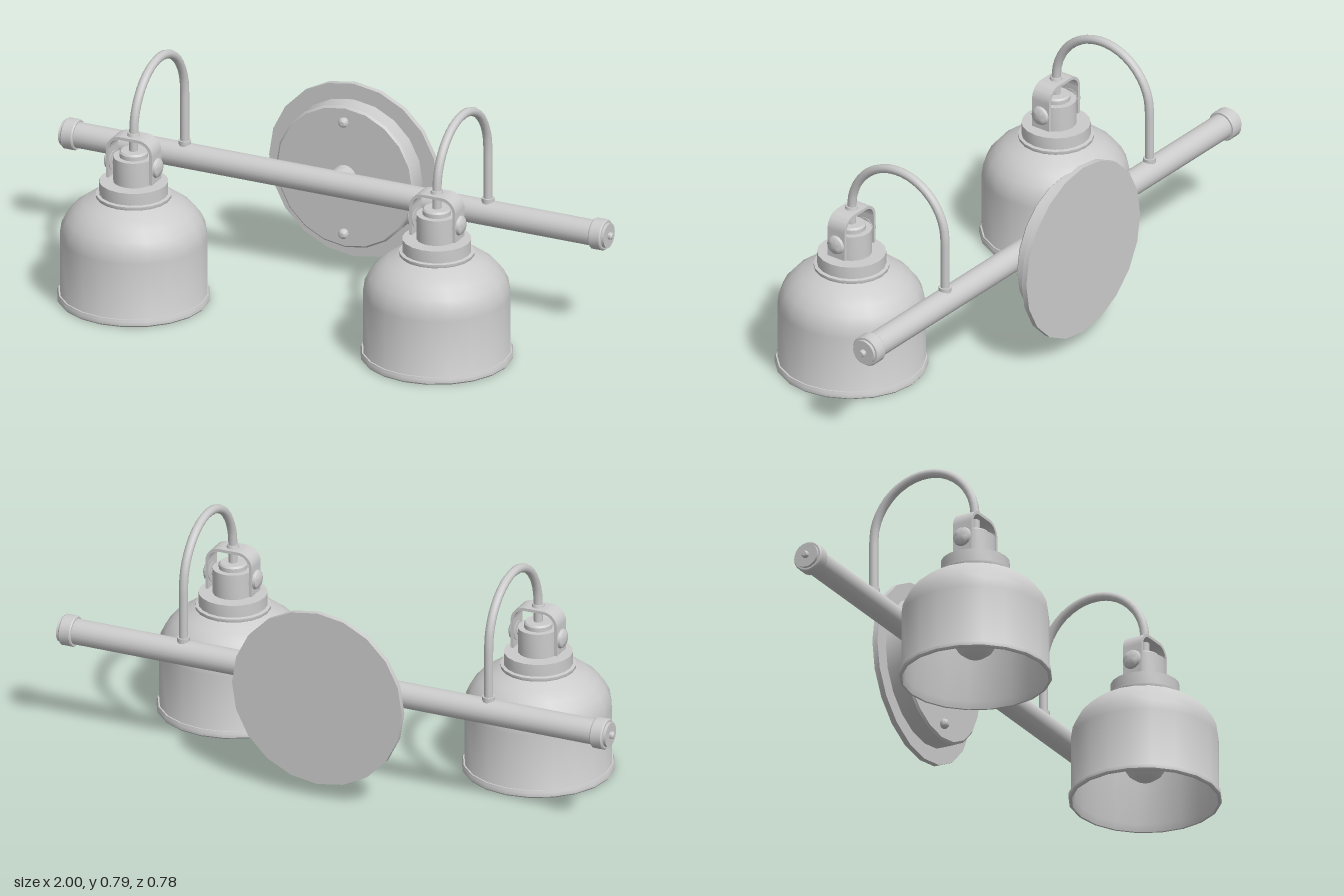
import * as THREE from 'three';
import { toCreasedNormals } from 'three/addons/utils/BufferGeometryUtils.js';

const material = new THREE.MeshStandardMaterial({ color: 0xcccccc });
const BAR_Y = 0.357, BAR_Z = -0.243, LAMP_Z = 0.14;

function add(parent, name, geometry, x = 0, y = 0, z = 0) {
  const mesh = new THREE.Mesh(geometry, material);
  mesh.name = name;
  mesh.position.set(x, y, z);
  parent.add(mesh);
  return mesh;
}

// Turned part: [radius, height] pairs, smooth around and sharp at steps
function turned(profile, sides = 20) {
  const points = profile.map(([r, h]) => new THREE.Vector2(r, h));
  return toCreasedNormals(new THREE.LatheGeometry(points, sides), 0.6);
}

// Curved strap over the socket: an upside-down U with rounded shoulders
function yokeGeometry() {
  const w = 0.083, t = 0.01, r = 0.05, bottom = 0.425, top = 0.575;
  const s = new THREE.Shape();
  s.moveTo(w, bottom);
  s.lineTo(w, top - r);
  s.absarc(w - r, top - r, r, 0, Math.PI / 2, false);
  s.absarc(r - w, top - r, r, Math.PI / 2, Math.PI, false);
  s.lineTo(-w, bottom);
  s.lineTo(t - w, bottom);
  s.lineTo(t - w, top - r);
  s.absarc(r - w, top - r, r - t, Math.PI, Math.PI / 2, true);
  s.absarc(w - r, top - r, r - t, Math.PI / 2, 0, true);
  s.lineTo(w - t, bottom);
  s.closePath();
  const g = new THREE.ExtrudeGeometry(s, { depth: 0.07, bevelEnabled: false, curveSegments: 5 });
  g.translate(0, 0, -0.035);
  return toCreasedNormals(g, 0.6);
}

// Swan-neck path: up from the bar, half circle forward, down into the socket
function neckGeometry() {
  const path = new THREE.CurvePath();
  const v = (y, z) => new THREE.Vector3(0, y, z);
  const arc = [];
  for (let i = 0; i <= 12; i++) {
    const a = Math.PI * i / 12;
    arc.push(v(0.58 + 0.196 * Math.sin(a), -0.0515 - 0.1915 * Math.cos(a)));
  }
  path.add(new THREE.LineCurve3(v(0.37, BAR_Z), arc[0]));
  path.add(new THREE.CatmullRomCurve3(arc));
  path.add(new THREE.LineCurve3(arc[12], v(0.51, LAMP_Z)));
  return new THREE.TubeGeometry(path, 32, 0.015, 10, false);
}

function createLamp() {
  const lamp = new THREE.Group();
  lamp.name = 'lamp';
  // Hollow bell shade with rolled lip, inside wall first
  add(lamp, 'shade', turned([
    [0, 0.35], [0.115, 0.35], [0.16, 0.33], [0.19, 0.308], [0.214, 0.28], [0.228, 0.252],
    [0.233, 0.22], [0.233, 0.025], [0.24, 0], [0.247, 0], [0.251, 0.005], [0.251, 0.018],
    [0.247, 0.025], [0.242, 0.025], [0.242, 0.22], [0.237, 0.255], [0.222, 0.287],
    [0.196, 0.317], [0.165, 0.34], [0.122, 0.36],
  ]), 0, 0, LAMP_Z);
  // Stepped cap and socket
  add(lamp, 'socket', turned([
    [0.122, 0.358], [0.124, 0.362], [0.124, 0.371], [0.113, 0.373], [0.113, 0.415],
    [0.067, 0.415], [0.067, 0.502], [0.047, 0.502], [0.047, 0.516], [0.042, 0.522], [0, 0.522],
  ]), 0, 0, LAMP_Z);
  // Bulb hanging inside the shade
  add(lamp, 'bulb', turned([
    [0, 0.072], [0.03, 0.078], [0.055, 0.096], [0.07, 0.12], [0.075, 0.148], [0.07, 0.177],
    [0.054, 0.215], [0.038, 0.25], [0.035, 0.35],
  ]), 0, 0, LAMP_Z);
  add(lamp, 'yoke', yokeGeometry(), 0, 0, LAMP_Z);
  // Domed thumb screws on both sides of the yoke
  for (const side of [-1, 1]) {
    const screw = add(lamp, 'yokeScrew', turned([
      [0.014, -0.03], [0.014, -0.012], [0.033, -0.012], [0.033, 0.002], [0.03, 0.009], [0.02, 0.015], [0, 0.018],
    ], 16), side * 0.083, 0.475, LAMP_Z);
    screw.rotation.z = -side * Math.PI / 2;
  }
  add(lamp, 'neckNut', new THREE.CylinderGeometry(0.019, 0.022, 0.012, 12), 0, 0.579, LAMP_Z);
  add(lamp, 'neck', neckGeometry());
  add(lamp, 'neckCollar', new THREE.CylinderGeometry(0.021, 0.021, 0.03, 12), 0, 0.396, BAR_Z);
  return lamp;
}

export function createModel() {
  const model = new THREE.Group();
  model.name = 'twinWallLight';

  // Horizontal bar with stepped end caps
  const bar = add(model, 'bar', new THREE.CylinderGeometry(0.043, 0.043, 1.9, 20), 0, BAR_Y, BAR_Z);
  bar.rotation.z = Math.PI / 2;
  for (const side of [-1, 1]) {
    const cap = add(model, 'endCap', turned([
      [0.043, 0.932], [0.049, 0.932], [0.052, 0.936], [0.052, 0.972], [0.048, 0.976], [0.042, 0.976],
      [0.042, 0.986], [0.012, 0.986], [0.012, 0.994], [0.008, 0.999], [0, 1],
    ]), 0, BAR_Y, BAR_Z);
    cap.rotation.z = -side * Math.PI / 2;
  }

  // Wall plate and raised canopy, turned about the z axis
  const plate = add(model, 'wallPlate', turned([
    [0, -0.39], [0.305, -0.39], [0.305, -0.371], [0.25, -0.371], [0.25, -0.312], [0.243, -0.305], [0, -0.305],
  ], 20), 0, BAR_Y, 0);
  plate.rotation.x = Math.PI / 2;
  const stem = add(model, 'stem', new THREE.CylinderGeometry(0.043, 0.043, 0.065, 20), 0, BAR_Y, -0.275);
  stem.rotation.x = Math.PI / 2;
  for (const side of [-1, 1]) {
    const screw = add(model, 'plateScrew', turned([
      [0.012, -0.01], [0.017, 0.006], [0.017, 0.012], [0.014, 0.019], [0.008, 0.024], [0, 0.025],
    ], 12), 0, BAR_Y + side * 0.197, -0.305);
    screw.rotation.x = Math.PI / 2;
  }

  // Two matching lamps
  for (const side of [-1, 1]) {
    const lamp = createLamp();
    lamp.position.x = side * 0.548;
    model.add(lamp);
  }
  return model;
}
